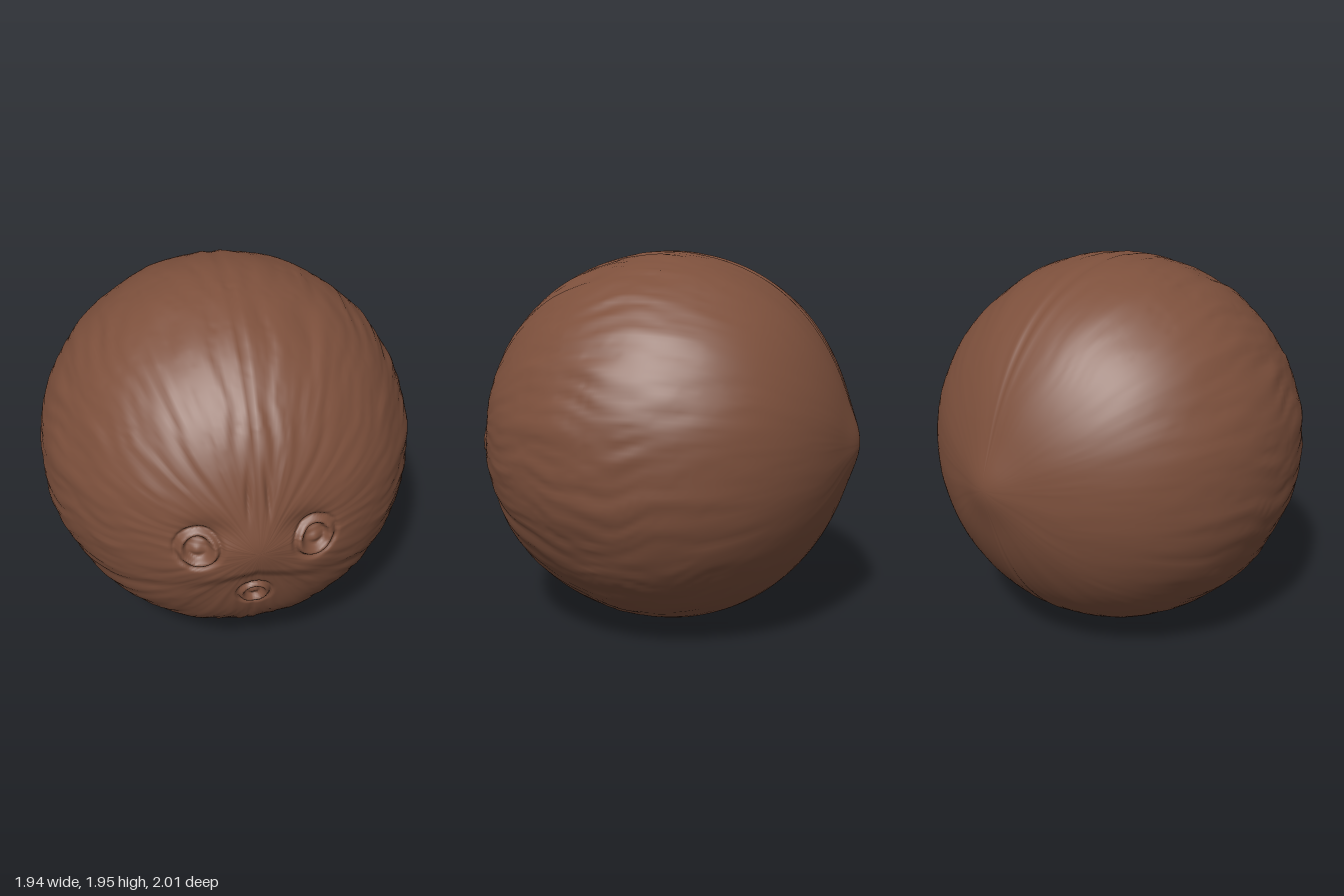
import * as THREE from 'three';
import { mergeVertices } from 'three/addons/utils/BufferGeometryUtils.js';

const CENTRE_Y = 0.98;
const gauss = (d, w) => Math.exp(-(d * d) / (w * w));
const smooth = THREE.MathUtils.smoothstep;

// Smooth seeded value noise in -1..1
function hash(i, j) {
  const s = Math.sin(i * 127.1 + j * 311.7) * 43758.5453;
  return (s - Math.floor(s)) * 2 - 1;
}
function noise(u, v) {
  const i = Math.floor(u), j = Math.floor(v);
  const a = smooth(u - i, 0, 1), b = smooth(v - j, 0, 1);
  const low = THREE.MathUtils.lerp(hash(i, j), hash(i + 1, j), a);
  const high = THREE.MathUtils.lerp(hash(i, j + 1), hash(i + 1, j + 1), a);
  return THREE.MathUtils.lerp(low, high, b);
}

// Round pit with a raised rim and a small off-centre plug
function pit(x, y, cx, cy, r) {
  const d = Math.hypot(x - cx, y - cy);
  return 0.014 * gauss(d - r * 0.8, r * 0.17)
    - 0.016 * gauss(d - r * 1.06, r * 0.13)
    - 0.03 * (1 - smooth(d, r * 0.45, r * 0.75))
    + 0.016 * gauss(Math.hypot(x - cx - r * 0.05, y - cy + r * 0.1), r * 0.3);
}

// Relief of the three-pored front end; x is mirrored, y is measured from the axis
function faceRelief(x, y) {
  let h = 0.022 * gauss(x, 0.16) * gauss(y - 0.01, 0.14);
  h -= 0.035 * gauss(x - 0.24, 0.11) * gauss(y - 0.1, 0.07);      // hollow under the brow
  h += 0.012 * gauss(x - 0.3, 0.13) * gauss(y + 0.13, 0.08);      // cheek
  const crest = -0.1 - 0.3 * x;                                   // fold below the eyes
  h -= 0.028 * (1 - smooth(y, crest - 0.09, crest)) * gauss(x, 0.3) * gauss(y + 0.25, 0.28);
  h += pit(x, y, 0.28, 0.01, 0.1) + pit(x, y, 0, -0.33, 0.078);
  // fibrous scars above the nose
  h -= 0.018 * gauss(x - 0.045 + 0.04 * (y - 0.3), 0.013) * gauss(y - 0.3, 0.1);
  return h;
}

// Husk radius by angle from the front pole and angle around the axis
function huskRadius(theta, phi) {
  const back = Math.PI - theta;
  let r = 0.972 + 0.012 * gauss(theta - 0.65, 0.35) + 0.006 * gauss(theta, 0.3);
  r += 0.035 * gauss(back, 0.16) - 0.012 * gauss(back - 0.5, 0.35);
  const around = Math.sin(theta);
  const wear = around * (1 - 0.8 * smooth(theta, 1.3, 2.4));
  const warp = phi + 0.06 * noise(phi * 3, theta * 4);
  // long fibres running from the front to the back
  r += wear * (0.006 * noise(warp * 12, theta * 2.5) + 0.005 * noise(warp * 28 + 9, theta * 5));
  r += wear * 0.005 * Math.min(0, noise(warp * 45 + 40, theta * 8) + 0.35);
  r += around * 0.004 * noise(phi * 4 + 70, theta * 1.5);
  // seam along the middle
  const side = Math.PI / 2 - Math.abs(phi);
  r += around * (0.004 * gauss(side - 0.05, 0.03) - 0.006 * gauss(side, 0.018));
  return r;
}

function huskGeometry() {
  const geo = new THREE.SphereGeometry(1, 240, 250);
  geo.rotateX(Math.PI / 2);
  geo.deleteAttribute('uv');
  geo.deleteAttribute('normal');
  const husk = mergeVertices(geo, 1e-5);
  const pos = husk.attributes.position;
  const p = new THREE.Vector3();
  for (let i = 0; i < pos.count; i++) {
    p.fromBufferAttribute(pos, i);
    // crowd the rings toward the front for finer relief
    const even = Math.acos(THREE.MathUtils.clamp(p.z, -1, 1));
    const theta = Math.PI * Math.pow(even / Math.PI, 1.4);
    const turn = Math.atan2(p.y, p.x);
    const phi = Math.atan2(p.y, Math.abs(p.x));
    const r = huskRadius(theta, phi);
    p.set(Math.cos(turn) * Math.sin(theta), Math.sin(turn) * Math.sin(theta), Math.cos(theta)).multiplyScalar(r);
    if (p.z > 0.3) p.z += faceRelief(Math.abs(p.x), p.y) * smooth(p.z, 0.3, 0.6);
    pos.setXYZ(i, p.x, p.y + CENTRE_Y, p.z);
  }
  husk.computeVertexNormals();
  return husk;
}

export function createModel() {
  const group = new THREE.Group();
  group.name = 'coconut';
  const brown = new THREE.MeshStandardMaterial({ color: 0x7d503c });
  brown.name = 'husk brown';
  const husk = new THREE.Mesh(huskGeometry(), brown);
  husk.name = 'husk';
  group.add(husk);
  return group;
}
